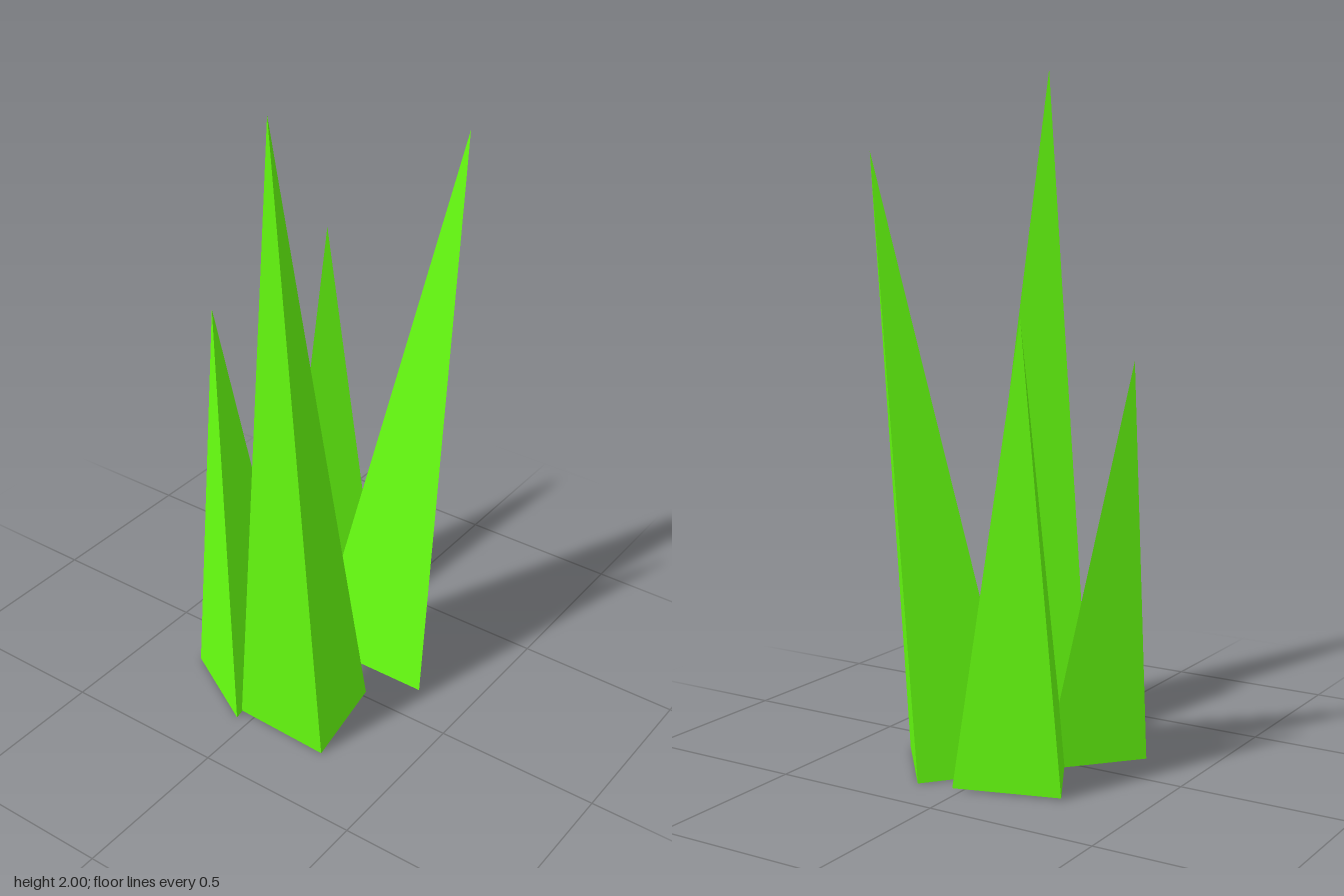
import * as THREE from 'three';

// Each blade: tip [x, y, z], height of its base, and three base corners [x, z]
// running counter-clockwise as seen from above.
const BLADES = [
  { name: 'frontLeftBlade', tip: [0.167, 2, 0.392], y: 0, base: [[-0.05, 0.275], [0.257, 0.287], [0.205, -0.02]] },
  { name: 'backLeftBlade', tip: [0.275, 1.75, -0.366], y: 0, base: [[-0.06, -0.124], [0.333, -0.124], [0.137, -0.364]] },
  { name: 'backRightBlade', tip: [-0.22, 1.32, -0.394], y: 0.005, base: [[-0.27, -0.265], [-0.123, 0.005], [0.027, -0.355]] },
  { name: 'frontRightBlade', tip: [-0.334, 1.18, 0.018], y: 0, base: [[-0.31, 0.155], [-0.042, 0.309], [-0.105, -0.08]] },
];

// Leaning three-sided spike with a closed base.
function bladeGeometry({ tip, y, base }) {
  const [a, b, c] = base.map(([x, z]) => [x, y, z]);
  const faces = [a, b, tip, b, c, tip, c, a, tip, a, c, b];
  const geometry = new THREE.BufferGeometry();
  geometry.setAttribute('position', new THREE.Float32BufferAttribute(faces.flat(), 3));
  geometry.computeVertexNormals();
  return geometry;
}

export function createModel() {
  const grass = new THREE.Group();
  grass.name = 'grassTuft';
  const material = new THREE.MeshStandardMaterial({ color: 0x66ff10, flatShading: true });
  for (const blade of BLADES) {
    const mesh = new THREE.Mesh(bladeGeometry(blade), material);
    mesh.name = blade.name;
    grass.add(mesh);
  }
  return grass;
}
